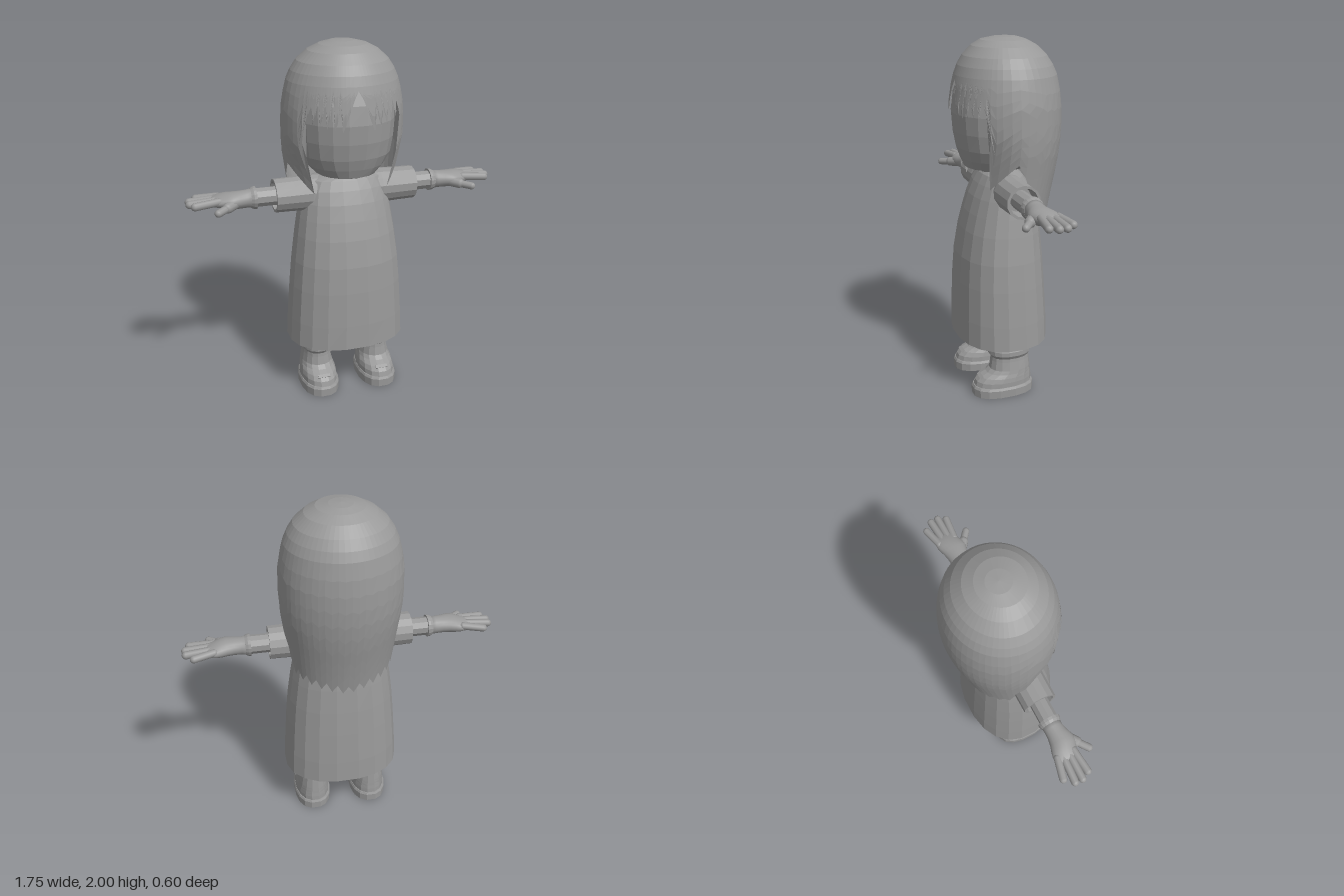
import * as THREE from 'three';

const flat = new THREE.MeshStandardMaterial({ color: 0x999999, flatShading: true, side: THREE.DoubleSide });
const smooth = new THREE.MeshStandardMaterial({ color: 0x999999 });

function mesh(name, geometry, material = flat) {
  const m = new THREE.Mesh(geometry, material);
  m.name = name;
  return m;
}

// Skin over rows of points; every row closes on itself
function skin(rows) {
  const n = rows[0].length, pos = rows.flat(2), index = [];
  for (let i = 0; i < rows.length - 1; i++) {
    for (let j = 0; j < n; j++) {
      const k = (j + 1) % n, a = i * n, b = a + n;
      index.push(a + j, a + k, b + k, a + j, b + k, b + j);
    }
  }
  const g = new THREE.BufferGeometry();
  g.setAttribute('position', new THREE.Float32BufferAttribute(pos, 3));
  g.setIndex(index);
  g.computeVertexNormals();
  return g;
}

// Loft through sections [y, halfWidth, zFront, zBack]; power above 2 squares the outline
function loft(sections, sides = 16, power = 2) {
  const round = (v) => Math.sign(v) * Math.abs(v) ** (2 / power);
  return skin(sections.map(([y, w, zf, zb]) => Array.from({ length: sides }, (_, j) => {
    const t = (j + 0.5) / sides * Math.PI * 2;
    return [w * round(Math.sin(t)), y, (zf + zb) / 2 + (zf - zb) / 2 * round(Math.cos(t))];
  })));
}

function capped(s) {
  const end = ([y, , f, b]) => [y, 0, (f + b) / 2, (f + b) / 2];
  return [end(s[0]), ...s, end(s[s.length - 1])];
}

// Piecewise linear lookup in rows sorted by rising first value
function lookup(table, v) {
  let i = 1;
  while (i < table.length - 1 && table[i][0] < v) i++;
  const a = table[i - 1], b = table[i];
  const t = THREE.MathUtils.clamp((v - a[0]) / (b[0] - a[0]), 0, 1);
  return a.map((x, k) => x + (b[k] - x) * t);
}

function hair() {
  // [y, halfWidth, zFront, zBack]
  const shape = [
    [0.95, 0.285, 0.30, -0.212], [1.1, 0.30, 0.30, -0.238], [1.2, 0.31, 0.30, -0.258],
    [1.3, 0.32, 0.30, -0.28], [1.4, 0.333, 0.30, -0.295], [1.5, 0.337, 0.30, -0.305],
    [1.65, 0.334, 0.303, -0.303], [1.75, 0.316, 0.288, -0.29], [1.8, 0.302, 0.275, -0.277],
    [1.85, 0.28, 0.257, -0.255], [1.9, 0.247, 0.228, -0.222], [1.95, 0.19, 0.182, -0.17],
    [1.98, 0.13, 0.135, -0.115], [1.995, 0.065, 0.065, -0.065], [2, 0, 0, 0],
  ];
  // Lower edge [degrees from the front, y]: parted fringe of curved strands
  const hem = [[0, 1.78], [4, 1.74], [8, 1.68], [12, 1.61]];
  for (const [tip, y, slit] of [[15, 1.57, 1.72], [22, 1.585, 1.74], [29, 1.59, 1.73], [36, 1.6, 1.73], [43, 1.61, 1.7]]) {
    hem.push([tip, y], [tip + 1, y + 0.07], [tip + 2.2, slit], [tip + 4.5, y + 0.05]);
  }
  // side lock, then slanting back to a jagged rear edge
  hem.push([50, 1.62], [54, 1.42], [60, 1.21], [66, 1.25], [75, 1.31], [84, 1.36], [92, 1.29], [100, 1.21], [108, 1.13]);
  for (let d = 114, i = 0; d <= 180; d += 6, i++) hem.push([d, 1.085 - 0.0011 * (d - 114) - (i % 2 ? 0 : 0.055)]);
  const ring = [...hem, ...hem.slice(1, -1).reverse().map(([d, y]) => [360 - d, y])];
  const point = (deg, y) => {
    const [, w, zf, zb] = lookup(shape, y);
    const s = Math.sin(deg * Math.PI / 180), c = Math.cos(deg * Math.PI / 180);
    // front locks curl in below the cheeks
    const curl = 1 - 0.5 * Math.max(0, c) * THREE.MathUtils.clamp((1.5 - y) / 0.3, 0, 1);
    return [w * s * curl, y, (zf + zb) / 2 + (zf - zb) / 2 * c];
  };
  const rows = [];
  for (let i = 9; i >= 1; i--) rows.push(ring.map(([d, y]) => point(d, 1.8 + (y - 1.8) * i / 9)));
  for (const y of [1.8, 1.85, 1.9, 1.95, 1.98, 1.995, 2]) rows.push(ring.map(([d]) => point(d, y)));
  return mesh('hair', skin(rows));
}

// Rounded finger between two points
function finger(name, from, to, r) {
  const a = new THREE.Vector3(...from), b = new THREE.Vector3(...to);
  const dir = b.clone().sub(a);
  const m = mesh(name, new THREE.CapsuleGeometry(r, dir.length(), 4, 10), smooth);
  m.position.copy(a).add(b).multiplyScalar(0.5);
  m.quaternion.setFromUnitVectors(new THREE.Vector3(0, 1, 0), dir.normalize());
  return m;
}

// Left arm, its lofts drawn upright and laid along +x
function arm() {
  const g = new THREE.Group();
  const limb = (name, sections, sides, material) => {
    const m = mesh(name, loft(sections, sides).rotateZ(-Math.PI / 2), material);
    m.position.y = 1.183;
    g.add(m);
  };
  limb('sleeve', [
    [0.1, 0.09, 0.12, -0.06], [0.2, 0.098, 0.137, -0.056], [0.3, 0.094, 0.136, -0.054],
    [0.4, 0.092, 0.135, -0.053], [0.4, 0.078, 0.12, -0.04], [0.32, 0.07, 0.11, -0.03], [0.32, 0, 0.04, 0.04],
  ], 14);
  limb('forearm', [[0.25, 0.053, 0.092, -0.012], [0.51, 0.053, 0.092, -0.012]], 10);
  limb('gloveCuff', capped([
    [0.5, 0.063, 0.102, -0.024], [0.515, 0.061, 0.1, -0.022], [0.53, 0.054, 0.094, -0.016],
  ]), 16);
  limb('palm', capped([
    [0.51, 0.055, 0.094, -0.016], [0.55, 0.049, 0.092, -0.012], [0.59, 0.047, 0.103, -0.014],
    [0.63, 0.046, 0.116, -0.022], [0.66, 0.044, 0.113, -0.032], [0.69, 0.037, 0.1, -0.039],
    [0.73, 0.027, 0.09, -0.038], [0.745, 0.014, 0.08, -0.028],
  ]), 20, smooth);
  // [base x, base z, tip x, tip z]
  [[0.7, -0.018, 0.812, -0.045], [0.7, 0.012, 0.853, 0.002],
    [0.7, 0.045, 0.855, 0.045], [0.7, 0.074, 0.832, 0.088]].forEach(([x, z, tx, tz], i) =>
    g.add(finger('finger' + (i + 1), [x, 1.192, z], [tx, 1.182, tz], 0.0215)));
  g.add(finger('thumbBase', [0.6, 1.178, 0.065], [0.665, 1.168, 0.115], 0.029));
  g.add(finger('thumb', [0.64, 1.17, 0.095], [0.722, 1.16, 0.16], 0.021));
  return g;
}

// Left leg with its boot
function leg() {
  const g = new THREE.Group();
  g.add(mesh('leg', loft([[0.2, 0.066, 0.13, -0.045], [0.7, 0.07, 0.13, -0.045]], 12)));
  g.add(mesh('bootSole', loft(capped([
    [0, 0.109, 0.26, -0.097], [0.045, 0.111, 0.262, -0.098], [0.058, 0.104, 0.255, -0.092],
  ]), 16, 2.4)));
  g.add(mesh('boot', loft(capped([
    [0.05, 0.103, 0.253, -0.09], [0.085, 0.103, 0.243, -0.088], [0.11, 0.099, 0.22, -0.085],
    [0.13, 0.093, 0.18, -0.083], [0.15, 0.089, 0.158, -0.081], [0.2, 0.08, 0.15, -0.076],
    [0.225, 0.077, 0.148, -0.073],
  ]), 16, 2.2)));
  g.add(mesh('bootCuff', loft(capped([
    [0.22, 0.078, 0.148, -0.072], [0.24, 0.09, 0.162, -0.082],
    [0.265, 0.09, 0.162, -0.082], [0.285, 0.08, 0.148, -0.074],
  ]), 16, 2.2)));
  const strap = mesh('bootStrap', new THREE.BoxGeometry(0.07, 0.01, 0.02));
  strap.position.set(0, 0.107, 0.214);
  strap.rotation.x = 0.6;
  g.add(strap);
  g.position.x = 0.176;
  return g;
}

export function createModel() {
  const model = new THREE.Group();
  model.name = 'figure';

  model.add(mesh('dress', loft([
    [0.31, 0.339, 0.303, -0.216], [0.45, 0.332, 0.301, -0.212], [0.65, 0.318, 0.293, -0.2],
    [0.8, 0.304, 0.282, -0.19], [0.95, 0.284, 0.256, -0.176], [1.05, 0.268, 0.23, -0.163],
    [1.14, 0.252, 0.202, -0.14], [1.21, 0.235, 0.172, -0.11], [1.26, 0.205, 0.145, -0.075],
    [1.285, 0.11, 0.12, -0.05],
  ], 20, 2.3)));

  const collar = mesh('collar', new THREE.TorusGeometry(0.1, 0.014, 6, 18).rotateX(Math.PI / 2));
  collar.position.set(0, 1.282, 0.035);
  model.add(collar);

  const neck = mesh('neck', new THREE.CylinderGeometry(0.07, 0.075, 0.16, 12));
  neck.position.set(0, 1.27, 0.03);
  model.add(neck);

  model.add(mesh('head', loft(capped([
    [1.29, 0.12, 0.2, -0.1], [1.302, 0.17, 0.23, -0.14], [1.35, 0.217, 0.25, -0.18],
    [1.41, 0.25, 0.27, -0.21], [1.5, 0.265, 0.287, -0.23], [1.6, 0.272, 0.294, -0.24],
    [1.7, 0.27, 0.28, -0.24], [1.8, 0.24, 0.24, -0.21], [1.88, 0.17, 0.16, -0.15],
  ]), 20, 2.2)));

  model.add(hair());

  // Paired limbs
  for (const [name, make] of [['Arm', arm], ['Leg', leg]]) {
    const left = make(), right = new THREE.Group();
    left.name = 'left' + name;
    right.name = 'right' + name;
    right.add(make());
    right.scale.x = -1;
    model.add(left, right);
  }
  return model;
}
